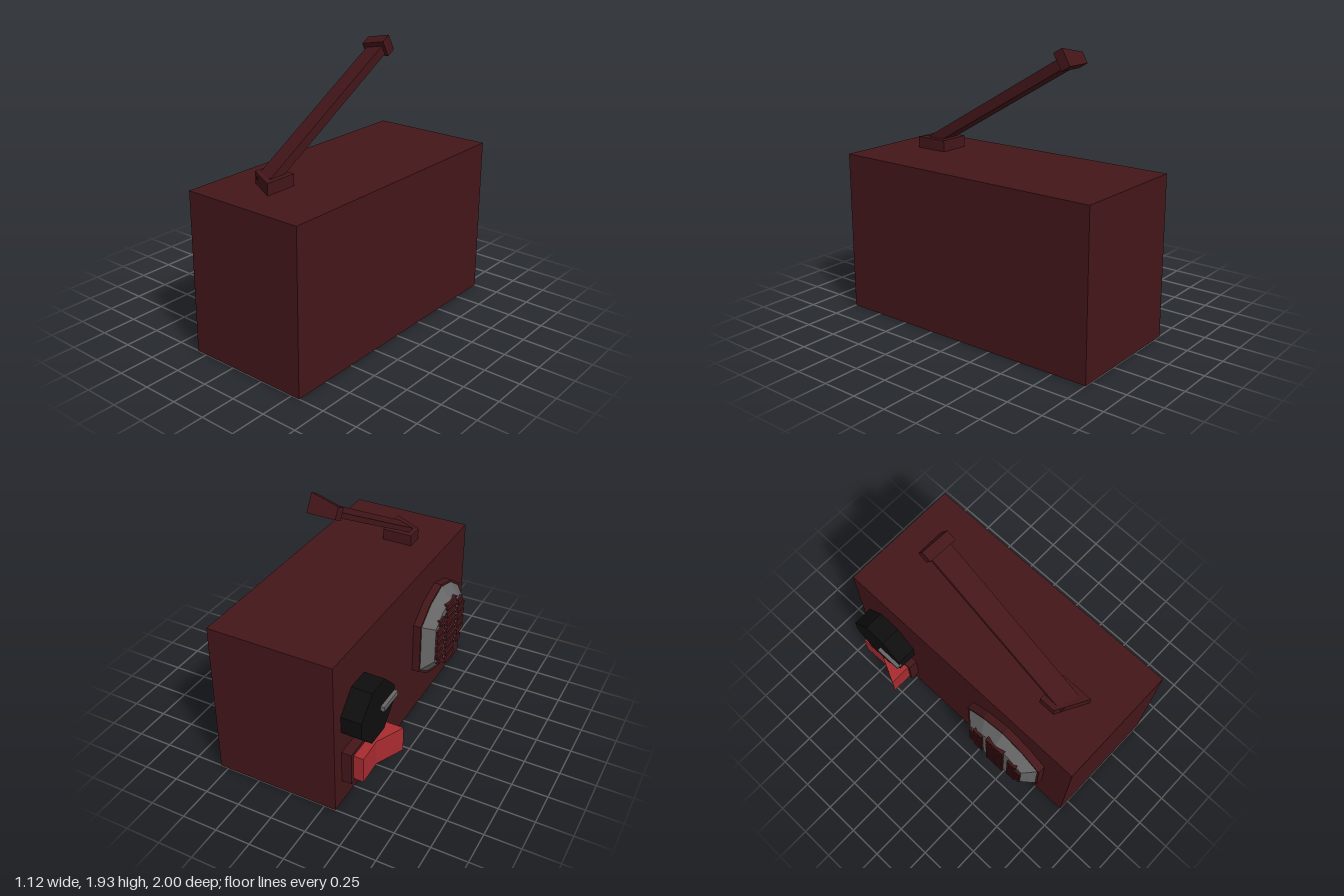
import * as THREE from 'three';

const mat = (color) => new THREE.MeshStandardMaterial({ color, flatShading: true });

// Prism from a 2D outline, optionally tapered towards its far end
function prism(points, depth, taper = 1) {
  const shape = new THREE.Shape(points.map(([x, y]) => new THREE.Vector2(x, y)));
  const geo = new THREE.ExtrudeGeometry(shape, { depth, bevelEnabled: false });
  const p = geo.attributes.position;
  for (let i = 0; i < p.count; i++) {
    if (p.getZ(i) > depth / 2) p.setXY(i, p.getX(i) * taper, p.getY(i) * taper);
  }
  geo.computeVertexNormals();
  return geo;
}

// Mirror a quarter outline (running from the +x side up to the top) into a full loop
function mirrored(quarter) {
  const half = [...quarter, ...quarter.filter(([x]) => x > 0).reverse().map(([x, y]) => [-x, y])];
  return [...half, ...half.map(([x, y]) => [-x, -y])]
    .filter(([x, y], i, a) => i === 0 || x !== a[i - 1][0] || y !== a[i - 1][1]);
}

// Four-sided section whose far edge is slanted: thin on one side, full on the other
const slanted = (halfW, thin, full) => [[-halfW, 0], [halfW, 0], [halfW, full], [-halfW, thin]];

export function createModel() {
  const model = new THREE.Group();
  model.name = 'radio';
  const casing = mat(0x431619);
  const grey = mat(0x666666);
  const black = mat(0x0e0e0e);
  const red = mat(0xa82c30);

  const add = (parent, name, geo, material, x = 0, y = 0, z = 0) => {
    const mesh = new THREE.Mesh(geo, material);
    mesh.name = name;
    mesh.position.set(x, y, z);
    parent.add(mesh);
    return mesh;
  };

  // Body
  add(model, 'body', new THREE.BoxGeometry(0.89, 1.13, 2), casing, 0.115, 0.565, 0);

  // Antenna: foot on the top, leaning rod and end cap
  const foot = prism(slanted(0.11, 0.12, 0.24), 0.09).rotateX(Math.PI / 2);
  add(model, 'antennaFoot', foot, casing, 0, 1.21, 0.52);
  const antenna = new THREE.Group();
  antenna.name = 'antenna';
  antenna.position.set(0, 1.21, 0.56);
  antenna.rotation.x = Math.PI / 6;
  add(antenna, 'antennaRod', prism(slanted(0.073, 0.035, 0.07), 1.3), casing, 0, 0, -1.19);
  add(antenna, 'antennaCap', prism(slanted(0.097, 0.08, 0.127), 0.075), casing, 0, -0.015, -1.25);
  model.add(antenna);

  // Control panel: local x runs along the body, local z points out of its side
  const panel = new THREE.Group();
  panel.name = 'controlPanel';
  panel.position.x = -0.33;
  panel.rotation.y = -Math.PI / 2;
  model.add(panel);

  // Speaker: rim, tapered cone and three columns of grille bars
  const outline = mirrored([[0.333, 0.19], [0.18, 0.3], [0, 0.355]]);
  const cx = 0.457, cy = 0.565;
  add(panel, 'speakerRim', prism(outline, 0.055), casing, cx, cy, 0);
  const inner = outline.map(([x, y]) => [x * 0.97, y * 0.97]);
  add(panel, 'speakerCone', prism(inner, 0.08, 0.74), grey, cx, cy, 0.05);
  const columns = [[-0.237, -0.117], [-0.077, 0.078], [0.12, 0.238]];
  for (let row = 0; row < 8; row++) {
    const y = (row - 3.5) * 0.065;
    for (const [a, b] of columns) {
      // Bars near the top and bottom stay within the outline
      const limit = Math.abs(y) > 0.2 ? 0.13 : Math.abs(y) > 0.15 ? 0.195 : 0.24;
      const from = Math.max(a, -limit), to = Math.min(b, limit);
      if (to - from < 0.02) continue;
      add(panel, 'grilleBar', new THREE.BoxGeometry(to - from, 0.045, 0.03), casing,
        cx + (from + to) / 2, cy + y, 0.13);
    }
  }

  // Knob and pointer
  const knob = mirrored([[0.2225, 0.06], [0.085, 0.2]]);
  add(panel, 'knob', prism(knob, 0.145), black, -0.69, 0.645, 0);
  add(panel, 'knobPointer', new THREE.BoxGeometry(0.195, 0.035, 0.04), grey, -0.562, 0.645, 0.151);

  // Rocker switch
  add(panel, 'switchBase', new THREE.BoxGeometry(0.44, 0.24, 0.07), casing, -0.69, 0.3, 0.035);
  const rocker = prism([[-0.88, 0.05], [-0.49, 0.05], [-0.49, 0.23], [-0.69, 0.135], [-0.88, 0.14]], 0.19);
  add(panel, 'switchRocker', rocker.rotateX(Math.PI / 2), red, 0, 0.395, 0);

  return model;
}
